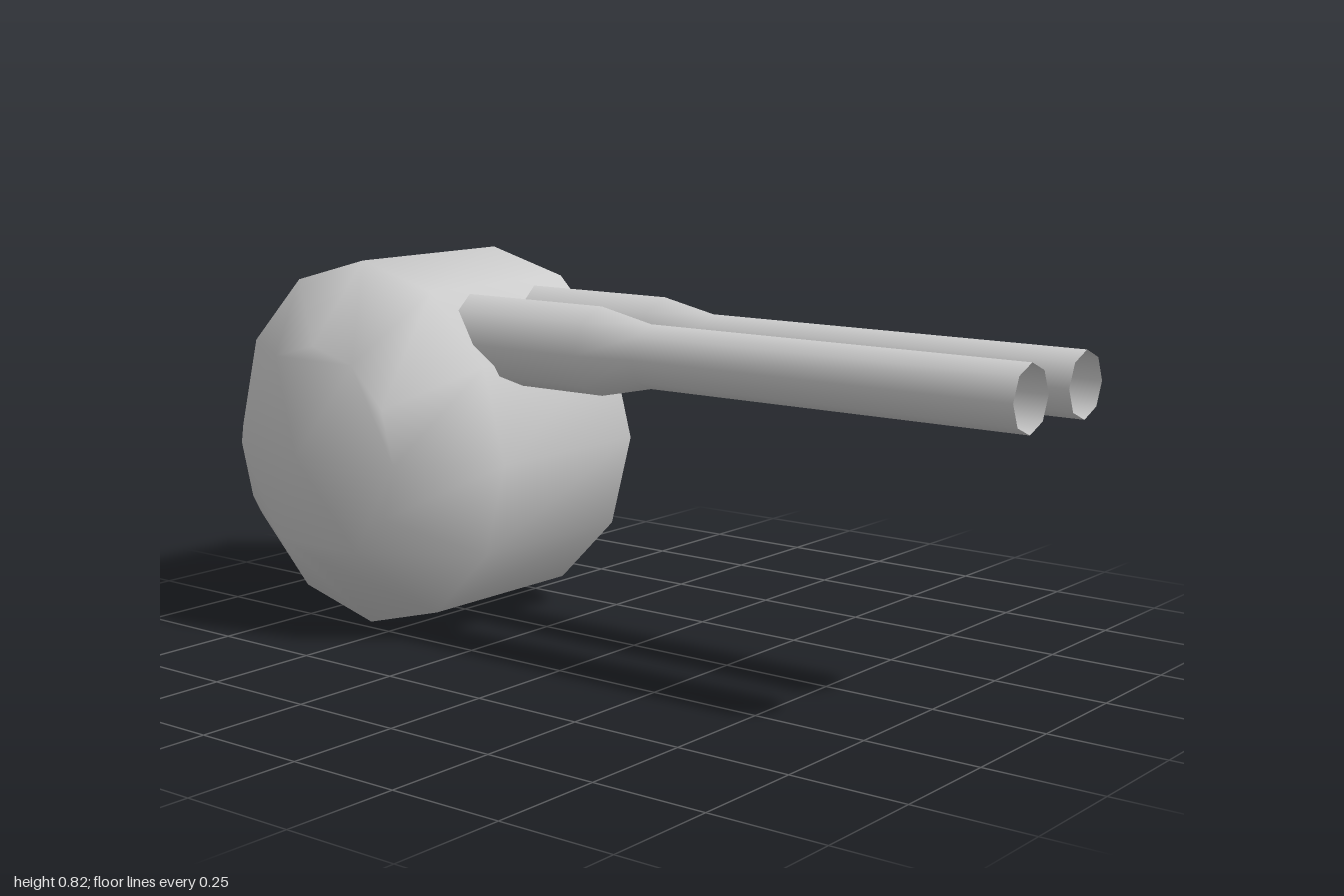
import * as THREE from 'three';

const SIDES = 12;

// Twelve-sided ball lying along x, with six-sided pointed caps
function ballGeometry() {
  const rings = [[-0.373, 0.237], [-0.215, 0.41], [0.215, 0.41], [0.373, 0.237]];
  const pos = [], idx = [];
  for (const [x, r] of rings) {
    for (let k = 0; k < SIDES; k++) {
      const a = (k / SIDES) * Math.PI * 2;
      pos.push(x, r * Math.sin(a), r * Math.cos(a));
    }
  }
  const at = (ring, k) => ring * SIDES + (k % SIDES);
  const last = rings.length - 1;
  for (let i = 0; i < last; i++) {
    for (let k = 0; k < SIDES; k++) {
      const a = at(i, k), b = at(i, k + 1), c = at(i + 1, k + 1), d = at(i + 1, k);
      idx.push(a, d, c, a, c, b);
    }
  }
  // Poles: each cap facet spans two ring sides, with a flat filler triangle
  const left = pos.length / 3, right = left + 1;
  pos.push(0.432, 0, 0, -0.432, 0, 0);
  for (let k = 0; k < SIDES; k += 2) {
    idx.push(left, at(last, k + 2), at(last, k));
    idx.push(at(last, k), at(last, k + 2), at(last, k + 1));
    idx.push(right, at(0, k), at(0, k + 2));
    idx.push(at(0, k), at(0, k + 1), at(0, k + 2));
  }
  const g = new THREE.BufferGeometry();
  g.setAttribute('position', new THREE.Float32BufferAttribute(pos, 3));
  g.setIndex(idx);
  g.computeVertexNormals();
  return g;
}

// Eight-sided turned shape along z, from [radius, z] pairs
function turned(profile) {
  const points = profile.map(([r, z]) => new THREE.Vector2(r, z));
  return new THREE.LatheGeometry(points, 8).rotateX(Math.PI / 2);
}

export function createModel() {
  const group = new THREE.Group();
  const grey = new THREE.MeshStandardMaterial({ color: 0xcccccc, side: THREE.DoubleSide });
  grey.name = 'light grey';

  const add = (name, geometry, x, y, z) => {
    const mesh = new THREE.Mesh(geometry, grey);
    mesh.name = name;
    mesh.position.set(x, y, z);
    group.add(mesh);
  };

  add('body', ballGeometry(), 0, 0.41, -0.59);

  // Two open tubes with a wide base sunk into the ball and a cupped floor inside
  const tube = turned([[0.094, -0.42], [0.094, 0], [0.067, 0.13], [0.067, 1]]);
  const cup = turned([[0, -0.12], [0.033, -0.08], [0.067, 0.13]]);
  for (const [side, s] of [['left', 1], ['right', -1]]) {
    add(side + 'Tube', tube, s * 0.107, 0.658, 0);
    add(side + 'TubeCup', cup, s * 0.107, 0.658, 0);
  }
  return group;
}
